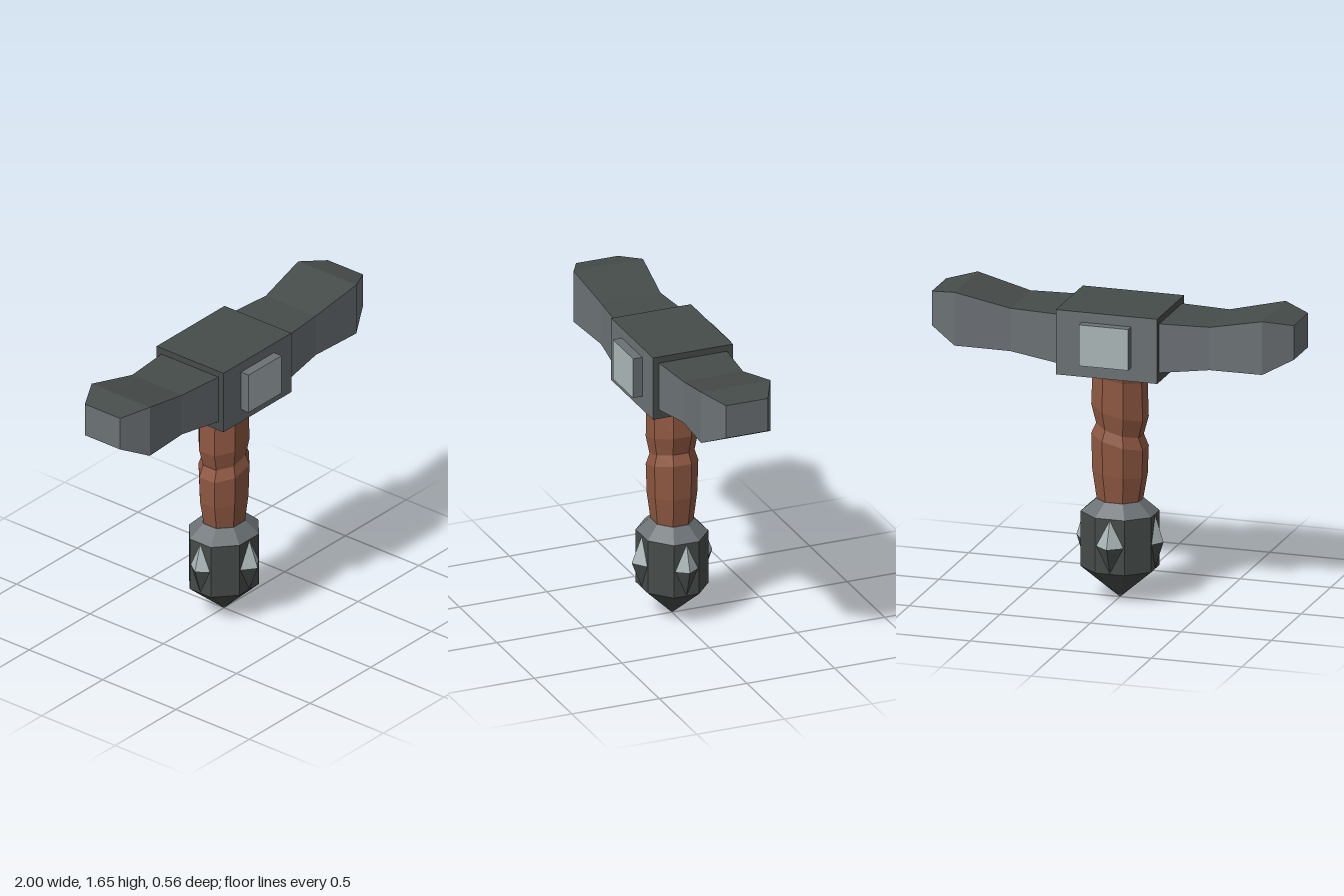
import * as THREE from 'three';

const mat = (name, color) => Object.assign(new THREE.MeshStandardMaterial({ color }), { name });

// Flat-shaded mesh from polygons (fan triangulated)
function facesMesh(name, polys, material) {
  const pos = [];
  for (const p of polys)
    for (let i = 1; i < p.length - 1; i++) pos.push(...p[0], ...p[i], ...p[i + 1]);
  const geo = new THREE.BufferGeometry();
  geo.setAttribute('position', new THREE.Float32BufferAttribute(pos, 3));
  geo.computeVertexNormals();
  const mesh = new THREE.Mesh(geo, material);
  mesh.name = name;
  return mesh;
}

// Quads joining successive rings; keep(k) selects sides
function loft(rings, keep = () => true) {
  const quads = [];
  for (let i = 0; i < rings.length - 1; i++) {
    const a = rings[i], b = rings[i + 1], n = a.length;
    for (let k = 0; k < n; k++)
      if (keep(k)) quads.push([a[k], b[k], b[(k + 1) % n], a[(k + 1) % n]]);
  }
  return quads;
}

// Octagon with flats facing the axes; tilt slopes it along x
function octagon([y, ax, az, tilt = 0]) {
  const c = Math.cos(Math.PI / 8);
  return Array.from({ length: 8 }, (_, k) => {
    const t = (k + 0.5) * Math.PI / 4;
    const x = ax / c * Math.cos(t);
    return [x, y + tilt * x, az / c * Math.sin(t)];
  });
}

export function createModel() {
  const steel = mat('steel', 0x6b7175);
  const dark = mat('dark steel', 0x464c4a);
  const light = mat('bright steel', 0xacb7b8);
  const leather = mat('brown leather', 0x8f5842);
  const model = new THREE.Group();
  model.name = 'warHammer';

  // Central block and raised plates: box sides in order +x -x +y -y +z -z
  const box = (name, w, h, d, y, side, face) => {
    const m = new THREE.Mesh(new THREE.BoxGeometry(w, h, d), [side, side, side, side, face, face]);
    m.name = name;
    m.position.y = y;
    model.add(m);
    return m;
  };
  box('headBlock', 0.56, 0.355, 0.456, 1.4375, dark, steel);
  for (const s of [1, -1])
    box(s > 0 ? 'frontPlate' : 'backPlate', 0.272, 0.225, 0.06, 1.4475, steel, light).position.z = s * 0.25;

  // Arms: sections [x, bottom, top, half depth]
  const sections = [[0.27, 1.31, 1.58, 0.195], [0.55, 1.345, 1.58, 0.17],
    [0.85, 1.355, 1.647, 0.198], [1, 1.43, 1.617, 0.12]];
  const rings = sections.map(([x, b, t, d]) => [[x, b, d], [x, t, d], [x, t, -d], [x, b, -d]]);
  const [D, A, B, C] = rings[3];
  for (const s of [1, -1]) {
    const arm = new THREE.Group();
    arm.name = s > 0 ? 'leftArm' : 'rightArm';
    arm.add(
      facesMesh('armSides', [...loft(rings, k => k % 2 === 0), [D, C, B, A]], steel),
      facesMesh('armTopAndBottom', loft(rings, k => k % 2 === 1), dark));
    arm.rotation.y = s > 0 ? 0 : Math.PI;
    model.add(arm);
  }

  // Handle with a slanted waist: [y, half width, half depth, tilt]
  const grip = [[0.53, 0.113, 0.102], [0.69, 0.137, 0.12, 0.1], [0.865, 0.142, 0.125, 0.25],
    [0.925, 0.117, 0.108, 0.27], [1.025, 0.142, 0.125, 0.25], [1.215, 0.136, 0.122, 0.15],
    [1.28, 0.148, 0.135]];
  model.add(facesMesh('handle', loft(grip.map(octagon)), leather));

  // Pommel: collar, faceted body and point
  const top = octagon([0.543, 0.118, 0.105]);
  const shoulder = octagon([0.473, 0.195, 0.173]);
  const base = octagon([0.172, 0.195, 0.173]);
  const tipRing = octagon([0.02, 0.023, 0.02]);
  const tip = octagon([0, 0.001, 0.001]);
  model.add(
    facesMesh('pommelCollar', [...loft([shoulder, top]), [...top].reverse()], steel),
    facesMesh('pommelBody', loft([tipRing, base, shoulder]), dark),
    facesMesh('pommelTip', loft([tip, tipRing]), steel));

  // Four diamond spikes, bright above and dark below
  for (let i = 0; i < 4; i++) {
    const [z, out, w] = i % 2 ? [0.194, 0.24, 0.066] : [0.172, 0.23, 0.076];
    const L = [-w, 0.322, z], R = [w, 0.322, z];
    const T = [0, 0.47, z], U = [0, 0.174, z], P = [0, 0.322, out];
    const spike = new THREE.Group();
    spike.name = 'spike' + (i + 1);
    spike.add(
      facesMesh('spikeUpper', [[L, P, T], [P, R, T]], light),
      facesMesh('spikeLower', [[L, U, P], [U, R, P]], dark));
    spike.rotation.y = i * Math.PI / 2;
    model.add(spike);
  }
  return model;
}
